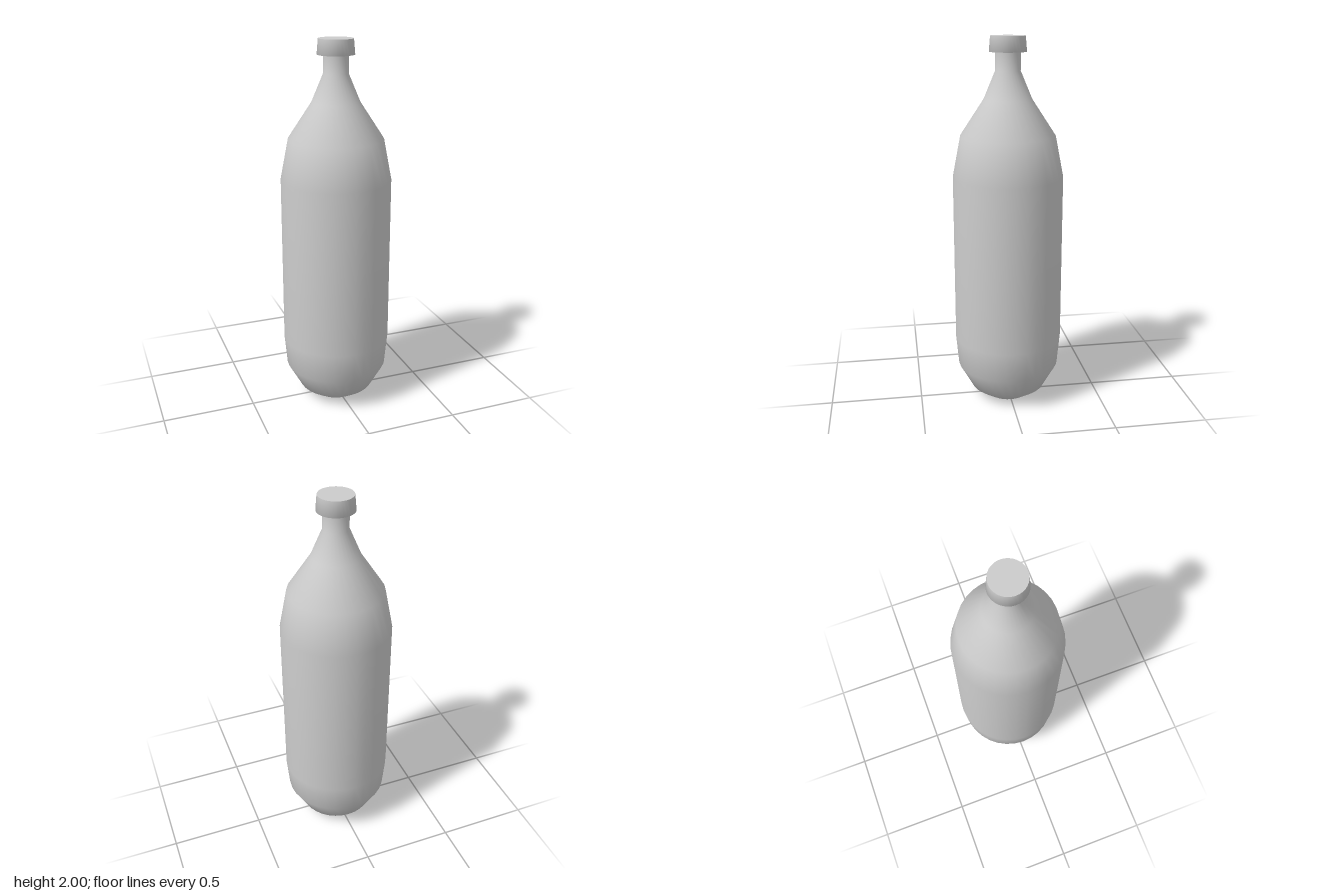
import * as THREE from 'three';

const SIDES = 32;

export function createModel() {
  const model = new THREE.Group();
  const material = new THREE.MeshStandardMaterial({ color: 0xcccccc });

  const add = (parent, name, geometry) => {
    const mesh = new THREE.Mesh(geometry, material);
    mesh.name = name;
    parent.add(mesh);
    return mesh;
  };
  const lathe = (profile) =>
    new THREE.LatheGeometry(profile.map(([r, y]) => new THREE.Vector2(r, y)), SIDES);
  // Flat disc facing up (dir = 1) or down (dir = -1)
  const disc = (radius, y, dir) =>
    new THREE.CircleGeometry(radius, SIDES).rotateX(-dir * Math.PI / 2).translate(0, y, 0);

  // Bottle: rounded foot, straight body, sloping shoulder and narrow neck
  const bottle = new THREE.Group();
  bottle.name = 'bottle';
  add(bottle, 'bottleBody', lathe([
    [0.117, 0], [0.205, 0.06], [0.28, 0.195], [0.295, 0.36], [0.295, 1.27],
    [0.252, 1.49], [0.127, 1.68], [0.066, 1.825], [0.066, 1.92],
  ]));
  add(bottle, 'bottleBase', disc(0.117, 0, -1));

  // Cap: slightly tapered, its underside running in to the neck
  const cap = new THREE.Group();
  cap.name = 'cap';
  add(cap, 'capSide', lathe([[0.064, 1.92], [0.098, 1.92], [0.091, 2]]));
  add(cap, 'capTop', disc(0.091, 2, 1));

  model.add(bottle, cap);
  return model;
}
